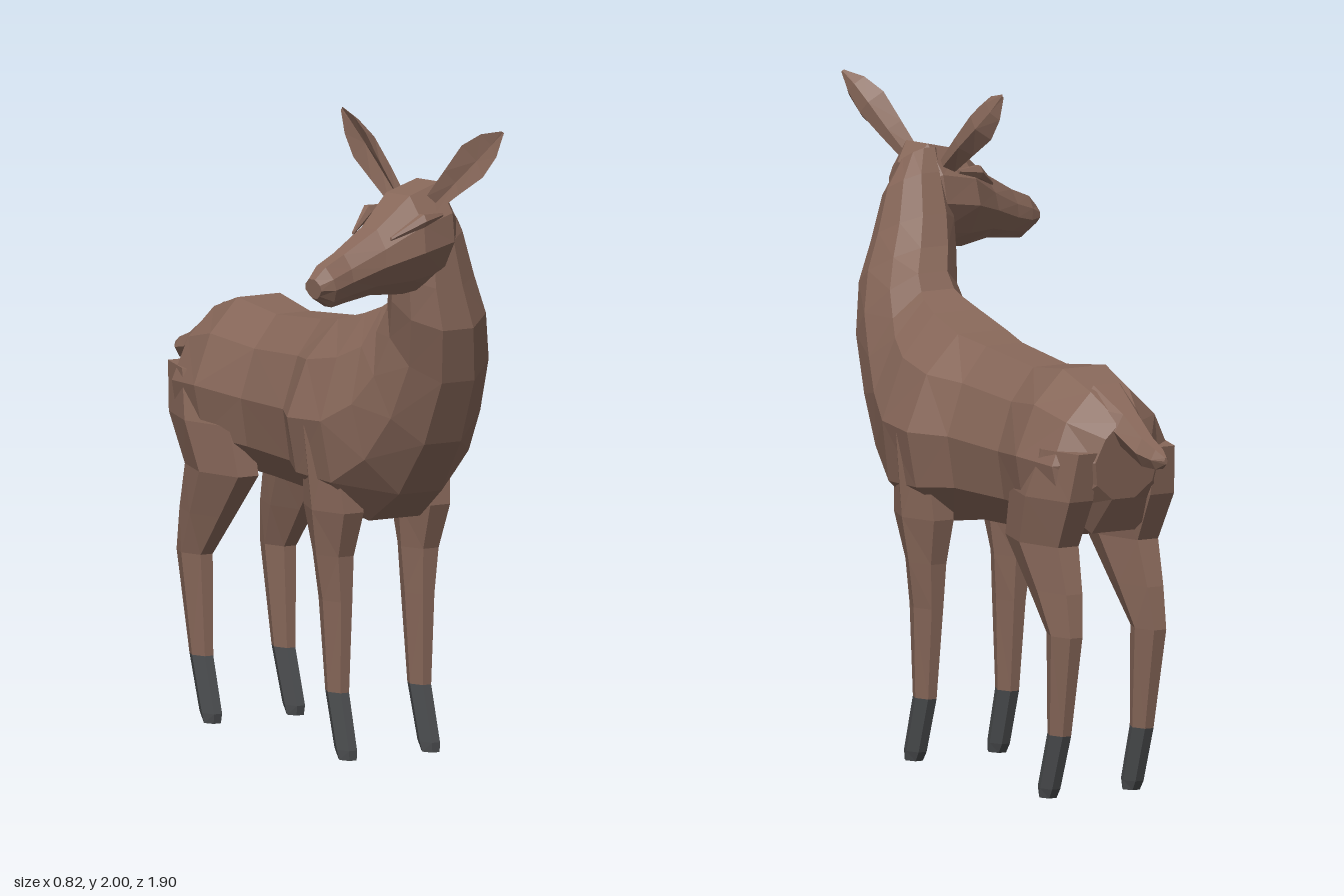
import * as THREE from 'three';

const coat = new THREE.MeshStandardMaterial({ color: 0x876759 });
coat.name = 'brown coat';
const horn = new THREE.MeshStandardMaterial({ color: 0x4a4c4e });
horn.name = 'grey hoof';

const MID = 0.14; // x of the body's plane of symmetry
const V = (x, y, z) => new THREE.Vector3(x, y, z);

// Skin a row of closed rings, cap both ends, and keep facets hard.
function loft(name, rings, material) {
  const tris = [];
  const n = rings[0].length;
  for (let i = 0; i < rings.length - 1; i++) {
    for (let j = 0; j < n; j++) {
      const k = (j + 1) % n;
      const a = rings[i][j], b = rings[i][k], c = rings[i + 1][k], d = rings[i + 1][j];
      // Shorter diagonal gives the cleaner fold
      if (a.distanceTo(c) < b.distanceTo(d)) tris.push([a, b, c], [a, c, d]);
      else tris.push([a, b, d], [b, c, d]);
    }
  }
  const cap = (ring, flip) => {
    const m = V(0, 0, 0);
    ring.forEach(p => m.addScaledVector(p, 1 / n));
    ring.forEach((p, j) => {
      const q = ring[(j + 1) % n];
      tris.push(flip ? [m, q, p] : [m, p, q]);
    });
  };
  cap(rings[0], true);
  cap(rings[rings.length - 1], false);
  // Turn the skin outward if its volume comes out negative
  const origin = rings[0][0];
  let volume = 0;
  for (const t of tris) {
    const [a, b, c] = t.map(p => p.clone().sub(origin));
    volume += a.dot(b.cross(c));
  }
  if (volume < 0) tris.forEach(t => t.reverse());
  const geometry = new THREE.BufferGeometry().setFromPoints(tris.flat());
  geometry.computeVertexNormals();
  const mesh = new THREE.Mesh(geometry, material);
  mesh.name = name;
  return mesh;
}

// Ring hung between a top and a bottom point; profile rows are [drop, width share].
function ring(top, bottom, side, halfWidth, profile) {
  const at = (u, s) => top.clone().lerp(bottom, u).addScaledVector(side, s * halfWidth);
  return [
    ...profile.map(([u, f]) => at(u, f)),
    ...[...profile].reverse().map(([u, f]) => at(u, -f)),
  ];
}

const TRUNK = [[0, 0.32], [0.2, 0.74], [0.5, 1], [0.8, 0.88], [1, 0.36]];
const SKULL = [[0, 0.38], [0.28, 0.9], [0.55, 1], [0.85, 0.62], [1, 0.3]];
const ROUND = [[0, 0.45], [0.5, 1], [1, 0.45]];

// Horizontal leg ring: height, front z, back z, inner x, outer x (from the midline)
function legRings(rows, s) {
  return rows.map(([y, front, back, inner, outer]) => {
    const x = MID + s * (inner + outer) / 2;
    return ring(V(x, y, front), V(x, y, back), V(s, 0, 0), (outer - inner) / 2, ROUND);
  });
}

// Leaf-shaped ear with a hollow side turned towards "facing"
function ear(name, base, tip, facing) {
  const axis = tip.clone().sub(base);
  const side = axis.clone().cross(facing).normalize();
  const out = side.clone().cross(axis).normalize();
  const rows = [[0, 0.03, 0.025], [0.3, 0.045, 0.03], [0.6, 0.062, 0.03], [0.82, 0.045, 0.018], [1, 0.006, 0.004]];
  return loft(name, rows.map(([t, w, d]) => {
    const c = base.clone().addScaledVector(axis, t);
    const p = (s, o) => c.clone().addScaledVector(side, s).addScaledVector(out, o);
    return [p(w, d * 0.5), p(w * 0.4, -d), p(-w * 0.4, -d), p(-w, d * 0.5), p(0, -d * 0.2)];
  }), coat);
}

export function createModel() {
  const model = new THREE.Group();
  model.name = 'deer';

  // Trunk and neck: top z, top y, bottom z, bottom y, half width, centre x
  const trunk = [
    [-0.74, 1.17, -0.70, 0.93, 0.11, MID],
    [-0.62, 1.25, -0.64, 0.82, 0.21, MID],
    [-0.47, 1.30, -0.45, 0.79, 0.235, MID],
    [-0.27, 1.275, -0.27, 0.78, 0.185, MID],
    [0, 1.30, 0, 0.77, 0.2, MID],
    [0.13, 1.32, 0.13, 0.75, 0.265, MID],
    [0.28, 1.36, 0.32, 0.73, 0.25, MID],
    [0.36, 1.39, 0.47, 0.83, 0.21, MID],
    [0.39, 1.41, 0.60, 1.00, 0.18, MID],
    [0.42, 1.46, 0.69, 1.20, 0.16, MID],
    [0.46, 1.53, 0.74, 1.37, 0.15, 0.11],
    [0.50, 1.62, 0.73, 1.50, 0.13, 0.085],
    [0.55, 1.74, 0.72, 1.64, 0.10, 0.07],
    [0.59, 1.81, 0.70, 1.74, 0.06, 0.05],
  ];
  model.add(loft('bodyAndNeck', trunk.map(([tz, ty, bz, by, w, x]) =>
    ring(V(x, ty, tz), V(x, by, bz), V(1, 0, 0), w, TRUNK)), coat));

  // Head turned to its right: top x, top y, bottom x, bottom y, z, half width
  const across = V(0.25, 0, 0.97);
  const head = [
    [0.11, 1.76, 0.09, 1.58, 0.635, 0.08],
    [0.06, 1.82, 0.05, 1.50, 0.645, 0.12],
    [-0.06, 1.79, -0.08, 1.49, 0.67, 0.13],
    [-0.18, 1.70, -0.20, 1.50, 0.70, 0.085],
    [-0.30, 1.635, -0.29, 1.487, 0.72, 0.057],
    [-0.375, 1.605, -0.35, 1.48, 0.74, 0.05],
    [-0.41, 1.57, -0.40, 1.51, 0.745, 0.034],
  ];
  model.add(loft('head', head.map(([tx, ty, bx, by, z, w]) =>
    ring(V(tx, ty, z), V(bx, by, z), across, w, SKULL)), coat));

  // Brow ridges over the eyes
  for (const s of [-1, 1]) {
    const rows = [[0.00, 1.735, 0.118, 0.006], [-0.08, 1.725, 0.117, 0.02], [-0.17, 1.675, 0.08, 0.005]];
    model.add(loft(s > 0 ? 'leftBrow' : 'rightBrow', rows.map(([x, y, off, r]) => {
      const c = V(x, y, 0.685 - 0.2 * (x + 0.1)).addScaledVector(across, s * off);
      return ring(c.clone().setY(y + r), c.clone().setY(y - r), across, r, ROUND);
    }), coat));
  }

  model.add(ear('leftEar', V(0.03, 1.76, 0.73), V(0.14, 2.0, 0.95), V(-0.85, 0.2, 0.45)));
  model.add(ear('rightEar', V(0.0, 1.76, 0.56), V(-0.04, 2.0, 0.31), V(-0.9, 0.1, -0.2)));

  // Tail: z, top y, bottom y, half width
  const tail = [
    [-0.60, 1.265, 1.15, 0.1], [-0.74, 1.195, 1.09, 0.055], [-0.84, 1.135, 1.05, 0.042],
    [-0.91, 1.11, 1.05, 0.03], [-0.95, 1.09, 1.07, 0.006],
  ];
  model.add(loft('tail', tail.map(([z, t, b, w]) =>
    ring(V(MID, t, z), V(MID, b, z), V(1, 0, 0), w, ROUND)), coat));

  // Legs and hooves, mirrored about the midline
  const frontLeg = [
    [1.02, 0.30, 0.12, 0.08, 0.255], [0.76, 0.335, 0.10, 0.075, 0.23], [0.62, 0.285, 0.135, 0.09, 0.21],
    [0.48, 0.28, 0.15, 0.10, 0.19], [0.2, 0.27, 0.18, 0.112, 0.178],
  ];
  const frontHoof = [[0.2, 0.27, 0.18, 0.112, 0.178], [0.03, 0.32, 0.235, 0.115, 0.178], [0, 0.32, 0.255, 0.118, 0.175]];
  const hindLeg = [
    [1.08, -0.42, -0.72, 0.06, 0.21], [0.93, -0.34, -0.69, 0.05, 0.235], [0.78, -0.30, -0.61, 0.06, 0.22],
    [0.64, -0.42, -0.65, 0.08, 0.205], [0.51, -0.53, -0.67, 0.10, 0.195], [0.2, -0.52, -0.61, 0.112, 0.178],
  ];
  const hindHoof = [[0.2, -0.52, -0.61, 0.112, 0.178], [0.03, -0.465, -0.55, 0.115, 0.178], [0, -0.47, -0.53, 0.118, 0.175]];
  for (const s of [-1, 1]) {
    const hand = s > 0 ? 'left' : 'right';
    model.add(loft(hand + 'FrontLeg', legRings(frontLeg, s), coat));
    model.add(loft(hand + 'FrontHoof', legRings(frontHoof, s), horn));
    model.add(loft(hand + 'HindLeg', legRings(hindLeg, s), coat));
    model.add(loft(hand + 'HindHoof', legRings(hindHoof, s), horn));
  }
  return model;
}
